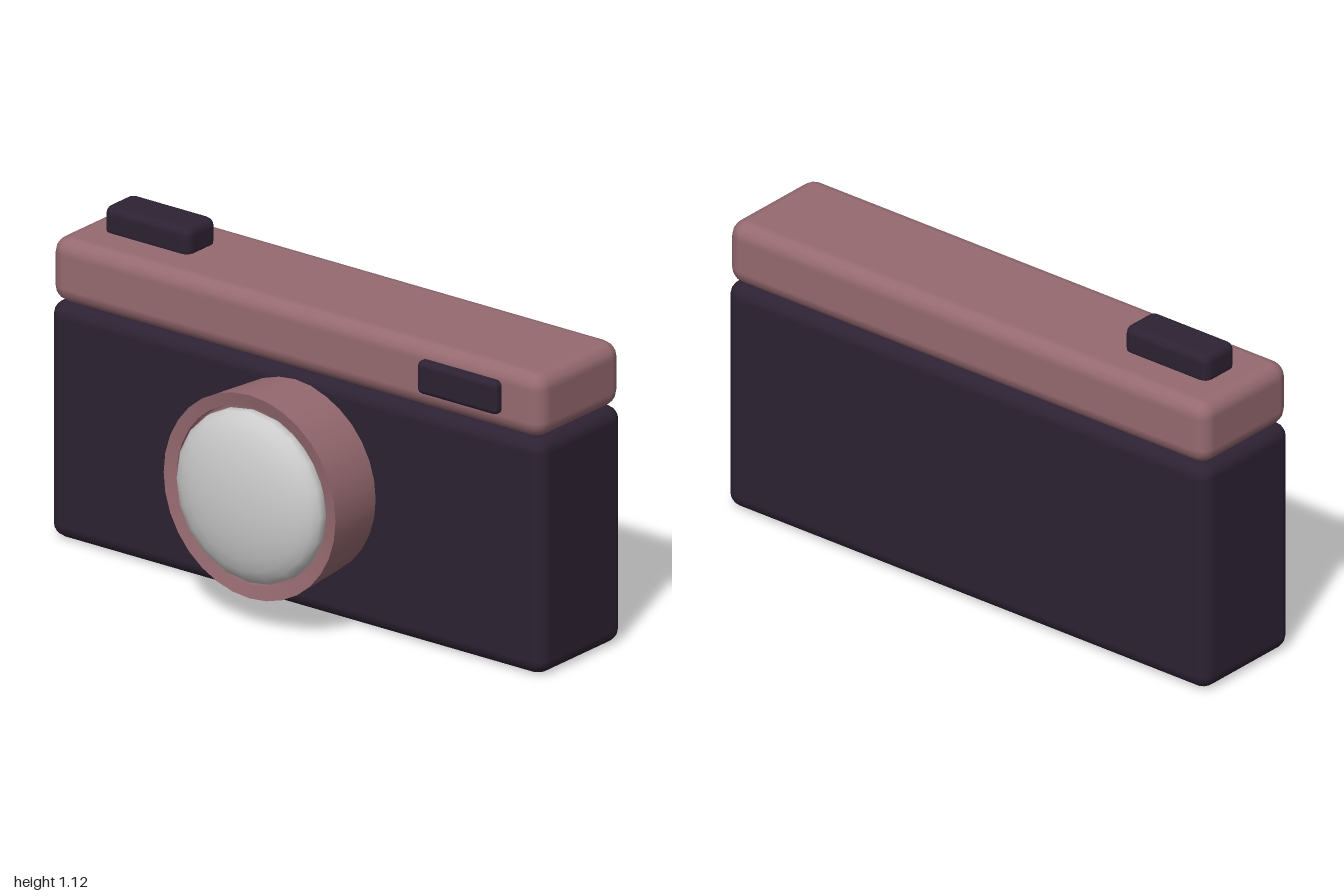
import * as THREE from 'three';
import { RoundedBoxGeometry } from 'three/addons/geometries/RoundedBoxGeometry.js';

const dark = new THREE.MeshStandardMaterial({ color: 0x2d2233 });
const rose = new THREE.MeshStandardMaterial({ color: 0x966a70 });
const grey = new THREE.MeshStandardMaterial({ color: 0xcccccc });

// Rounded box given by its minimum and maximum corners
function roundedBox(name, min, max, radius, material) {
  const size = max.map((v, i) => v - min[i]);
  const mesh = new THREE.Mesh(new RoundedBoxGeometry(...size, 2, radius), material);
  mesh.position.set(...max.map((v, i) => (v + min[i]) / 2));
  mesh.name = name;
  return mesh;
}

export function createModel() {
  const camera = new THREE.Group();
  camera.name = 'camera';

  // Body, top cover, shutter button and viewfinder
  camera.add(
    roundedBox('body', [-1, 0, -0.375], [1, 0.81, 0.056], 0.05, dark),
    roundedBox('topCover', [-0.995, 0.808, -0.375], [0.995, 1.03, 0.056], 0.055, rose),
    roundedBox('shutterButton', [-0.887, 1.01, -0.235], [-0.54, 1.12, -0.085], 0.03, dark),
    roundedBox('viewfinder', [0.515, 0.87, -0.02], [0.84, 0.983, 0.085], 0.018, dark),
  );

  const lens = new THREE.Group();
  lens.name = 'lens';
  lens.position.y = 0.453;

  // Flared barrel with a shallow lip; each face has its own points to keep the rim sharp
  const profiles = {
    lensBarrel: [[0.328, 0.03], [0.348, 0.286]],
    lensRim: [[0.348, 0.286], [0.303, 0.276]],
    lensSeat: [[0.303, 0.276], [0.298, 0.24], [0, 0.24]],
  };
  for (const [name, points] of Object.entries(profiles)) {
    const geometry = new THREE.LatheGeometry(points.map(([r, z]) => new THREE.Vector2(r, z)), 32);
    geometry.rotateX(Math.PI / 2);
    const part = new THREE.Mesh(geometry, rose);
    part.name = name;
    lens.add(part);
  }

  // Flattened glass dome
  const dome = new THREE.SphereGeometry(1, 20, 8, 0, Math.PI * 2, 0, Math.PI * 0.6);
  dome.rotateX(Math.PI / 2);
  dome.scale(0.295, 0.295, 0.1);
  const glass = new THREE.Mesh(dome, grey);
  glass.name = 'lensGlass';
  glass.position.z = 0.276;
  lens.add(glass);

  camera.add(lens);
  return camera;
}
